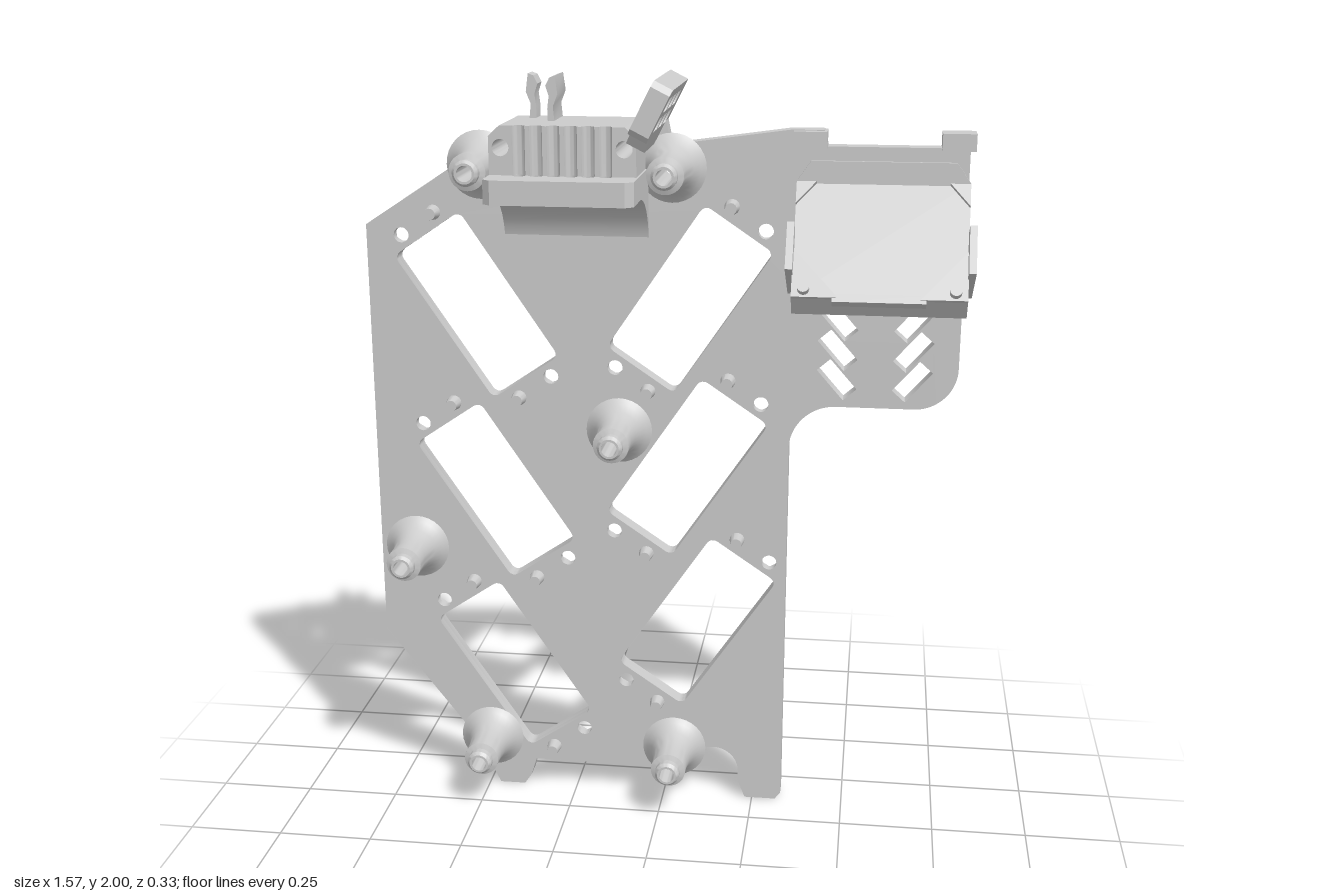
import * as THREE from 'three';
import { toCreasedNormals } from 'three/addons/utils/BufferGeometryUtils.js';

const BACK = -0.165, FACE = -0.115, MID = -0.14;
const V = (x, y) => new THREE.Vector2(x, y);

export function createModel() {
  const model = new THREE.Group();
  const mat = new THREE.MeshStandardMaterial({ color: 0xcccccc, side: THREE.DoubleSide });

  const add = (name, geo, parent = model) => {
    const mesh = new THREE.Mesh(toCreasedNormals(geo, 0.6), mat);
    mesh.name = name;
    parent.add(mesh);
    return mesh;
  };
  const poly = (pts) => new THREE.Shape(pts.map(([x, y]) => V(x, y)));
  const ngon = (x, y, r, n, turn = 0) => new THREE.Path(Array.from({ length: n }, (_, i) => {
    const a = turn + (i / n) * Math.PI * 2;
    return V(x + r * Math.cos(a), y + r * Math.sin(a));
  }));
  const extrude = (shape, depth) => new THREE.ExtrudeGeometry(shape, { depth, bevelEnabled: false, curveSegments: 10 });
  // front outline pushed along z
  const alongZ = (shape, z0, z1) => extrude(shape, z1 - z0).translate(0, 0, z0);
  // plan outline, drawn as (x, -z), pushed along y
  const alongY = (shape, y0, y1) => extrude(shape, y1 - y0).rotateX(-Math.PI / 2).translate(0, y0, 0);
  // side outline, drawn as (z, y), pushed along x
  const alongX = (shape, x0, x1) => extrude(shape, x1 - x0).rotateY(-Math.PI / 2).translate(x1, 0, 0);
  const box = (name, x0, x1, y0, y1, z0, z1, parent) => add(name,
    new THREE.BoxGeometry(x1 - x0, y1 - y0, z1 - z0).translate((x0 + x1) / 2, (y0 + y1) / 2, (z0 + z1) / 2), parent);
  // rounded rectangle hole turned by an angle
  const slot = (cx, cy, len, wid, angle, r) => {
    const pts = [], c = Math.cos(angle), s = Math.sin(angle);
    [[1, 1], [-1, 1], [-1, -1], [1, -1]].forEach(([sx, sy], k) => {
      for (let i = 0; i <= 4; i++) {
        const a = (k + i / 4) * Math.PI / 2;
        const u = sx * (len / 2 - r) + r * Math.cos(a), v = sy * (wid / 2 - r) + r * Math.sin(a);
        pts.push(V(cx + u * c - v * s, cy + u * s + v * c));
      }
    });
    return new THREE.Path(pts);
  };

  // ---- Layout: six angled windows, each with two screw holes and two pegs
  const windows = [[-0.497, 1.39, -1], [-0.459, 0.88, -1], [-0.42, 0.37, -1],
    [0.065, 1.42, 1], [0.06, 0.965, 1], [0.09, 0.525, 1]];
  const screws = [], pegs = [];
  for (const [x, y, m] of windows) for (const s of [-1, 1]) {
    screws.push([x + s * m * 0.195, y + s * 0.184]);
    pegs.push([x + s * m * 0.108, y + s * 0.245]);
  }
  const standoffs = [[-0.475, 1.76], [0.02, 1.76], [-0.12, 1.065], [-0.685, 0.71], [-0.49, 0.145], [0.03, 0.145]];

  // ---- Plate: front layer with round holes, back layer with hexagonal nut pockets
  const outline = () => {
    const s = new THREE.Shape();
    s.moveTo(-0.785, 1.6);
    s.lineTo(-0.785, 0.46);
    [[-0.55, 0.155], [-0.49, 0.08], [-0.49, 0.04], [-0.47, 0], [-0.4, 0], [-0.38, 0.03], [-0.365, 0.08], [0.07, 0.08]]
      .forEach((p) => s.lineTo(...p));
    s.absarc(0.14, 0.08, 0.07, Math.PI, 0, true);
    [[0.21, 0.05], [0.23, 0], [0.315, 0], [0.33, 0.02], [0.33, 1.03]].forEach((p) => s.lineTo(...p));
    s.absarc(0.45, 1.03, 0.12, Math.PI, Math.PI / 2, true);
    s.lineTo(0.65, 1.15);
    s.absarc(0.65, 1.26, 0.11, -Math.PI / 2, 0, false);
    [[0.76, 1.82], [0.41, 1.82], [0.4, 1.86], [0.32, 1.86], [0.03, 1.82], [-0.04, 1.8], [-0.04, 1.75],
      [-0.41, 1.75], [-0.41, 1.845]].forEach((p) => s.lineTo(...p));
    return s;
  };
  const layer = (hex) => {
    const s = outline();
    for (const [x, y, m] of windows) s.holes.push(slot(x, y, 0.455, 0.215, m * 0.977, 0.02));
    for (let i = 0; i < 3; i++) for (const m of [-1, 1])
      s.holes.push(slot(0.547 + m * 0.097, 1.223 + i * 0.078, 0.105, 0.046, m * 0.85, 0.002));
    for (const [x, y] of [...screws, ...standoffs, ...(hex ? pegs : [])])
      s.holes.push(hex ? ngon(x, y, 0.03, 6, 0.5) : ngon(x, y, 0.02, 20));
    return s;
  };
  add('plateFront', alongZ(layer(false), MID, FACE));
  add('plateBack', alongZ(layer(true), BACK, MID));

  // ---- Pegs beside each window
  for (const [x, y] of pegs) {
    add('peg', new THREE.CylinderGeometry(0.015, 0.021, 0.045, 16).rotateX(Math.PI / 2).translate(x, y, -0.1));
  }

  // ---- Flared hollow standoffs
  const flare = [[0.088, FACE], [0.075, -0.105], [0.06, -0.08], [0.051, -0.05], [0.047, -0.015], [0.047, 0.03],
    [0.033, 0.035], [0.033, 0.053], [0.026, 0.062], [0.02, 0.062], [0.02, FACE]].map((p) => V(...p));
  for (const [x, y] of standoffs) {
    add('standoff', new THREE.LatheGeometry(flare, 32).rotateX(Math.PI / 2).translate(x, y, 0));
  }

  // ---- Cable bracket: grooved block, drilled shoulders, shelf and curved gusset
  const bracket = new THREE.Group();
  bracket.name = 'cableBracket';
  model.add(bracket);
  const grooves = Array.from({ length: 6 }, (_, i) => -0.335 + i * 0.043);

  const block = new THREE.Shape();
  block.moveTo(-0.355, 0.165);
  block.lineTo(-0.355, -0.07);
  for (const x of grooves) {
    block.lineTo(x - 0.016, -0.07);
    block.absarc(x, -0.07, 0.016, Math.PI, 0, true);
  }
  block.lineTo(-0.1, -0.07);
  block.lineTo(-0.1, 0.165);
  add('groovedBlock', alongY(block, 1.76, 1.88), bracket);

  for (const m of [-1, 1]) {
    const X = (d) => -0.2275 + m * d;
    const shoulder = poly([[X(0.127), 1.75], [X(0.1825), 1.75], [X(0.1825), 1.855], [X(0.155), 1.88], [X(0.127), 1.88]]);
    shoulder.holes.push(ngon(X(0.153), 1.827, 0.021, 20));
    add('shoulder', alongZ(shoulder, BACK, 0.07), bracket);
  }
  const shelf = poly([[-0.41, 0.12], [-0.41, -0.145], [-0.39, -0.163], [-0.06, -0.163], [-0.04, -0.145], [-0.04, 0.12]]);
  for (const x of grooves) shelf.holes.push(ngon(x, -0.07, 0.016, 16));
  add('shelf', alongY(shelf, 1.7, 1.76), bracket);

  const gusset = new THREE.Shape();
  gusset.moveTo(-0.12, 1.56);
  gusset.quadraticCurveTo(-0.1, 1.68, 0.03, 1.701);
  gusset.lineTo(-0.12, 1.701);
  add('gusset', alongX(gusset, -0.415, -0.04), bracket);

  // ---- Leaning window comb on the bracket's left
  const comb = new THREE.Group();
  comb.name = 'comb';
  comb.position.set(-0.05, 1.855, 0);
  comb.rotation.z = -0.47;
  bracket.add(comb);
  const frame = poly([[BACK, -0.02], [0.07, -0.02], [0.09, 0.015], [0.15, 0.015], [0.165, 0.03], [0.165, 0.14],
    [0.15, 0.155], [BACK, 0.155]]);
  for (let i = 0; i < 3; i++) for (let j = 0; j < 2; j++)
    frame.holes.push(slot(-0.075 + i * 0.082, 0.06 + j * 0.052, 0.068, 0.038, 0, 0.003));
  add('combFrame', alongX(frame, -0.012, 0.038), comb);
  add('combFoot', alongZ(poly([[-0.06, 1.75], [-0.035, 1.75], [0.02, 1.8], [0.0, 1.9], [-0.06, 1.86]]), BACK, FACE), bracket);

  // ---- Two-pronged wire clip on top of the block
  [[-0.325, -0.11, -1], [-0.285, -0.05, 1]].forEach(([x, z1, m]) => {
    const prong = poly([[0, 1.875], [0.018, 1.875], [0.014, 1.915], [0.026, 1.945], [0.02, 1.99], [0.006, 1.985],
      [-0.004, 1.965], [0.004, 1.94], [0, 1.91]].map(([px, py]) => [x + m * px, py]));
    add('clipProng', alongZ(prong, BACK, z1), bracket);
  });

  // ---- Sloped holder on the upper left
  const holder = new THREE.Group();
  holder.name = 'slopedHolder';
  model.add(holder);
  add('wedge', alongX(poly([[-0.12, 1.735], [-0.12, 1.45], [-0.03, 1.425], [0.025, 1.425], [0.055, 1.47]]), 0.335, 0.765), holder);
  add('upperRim', alongZ(poly([[0.335, 1.735], [0.37, 1.785], [0.73, 1.785], [0.765, 1.735]]), -0.12, -0.105), holder);

  // face details lie in a frame with +y up the slope and +z out of it
  const face = new THREE.Group();
  face.name = 'holderFace';
  face.position.set(0.55, 1.47, 0.055);
  face.rotation.x = -Math.atan2(0.175, 0.265);
  holder.add(face);
  for (const m of [-1, 1]) {
    add('cornerPad', alongZ(poly([[m * 0.215, 0], [m * 0.215, 0.13], [m * 0.1, 0]]), -0.01, 0.012), face);
    add('topCornerPad', alongZ(poly([[m * 0.215, 0.31], [m * 0.215, 0.25], [m * 0.165, 0.31]]), -0.01, 0.012), face);
    add('pin', new THREE.CylinderGeometry(0.015, 0.015, 0.04, 16).rotateX(Math.PI / 2).translate(m * 0.185, 0.02, 0.012), face);
    const cx = 0.55 + m * 0.222;
    add('sideEar', alongX(poly([[0, 1.65], [0.07, 1.545], [-0.095, 1.45], [-0.155, 1.56]]), cx - 0.009, cx + 0.009), holder);
  }
  box('lowerLip', -0.115, 0.115, -0.01, 0.012, -0.02, 0.01, face);

  // ---- Hooks on the plate's top edge
  for (const x of [0.325, 0.69]) box('topHook', x, x + 0.083, 1.815, 1.858, BACK, -0.09);

  return model;
}
